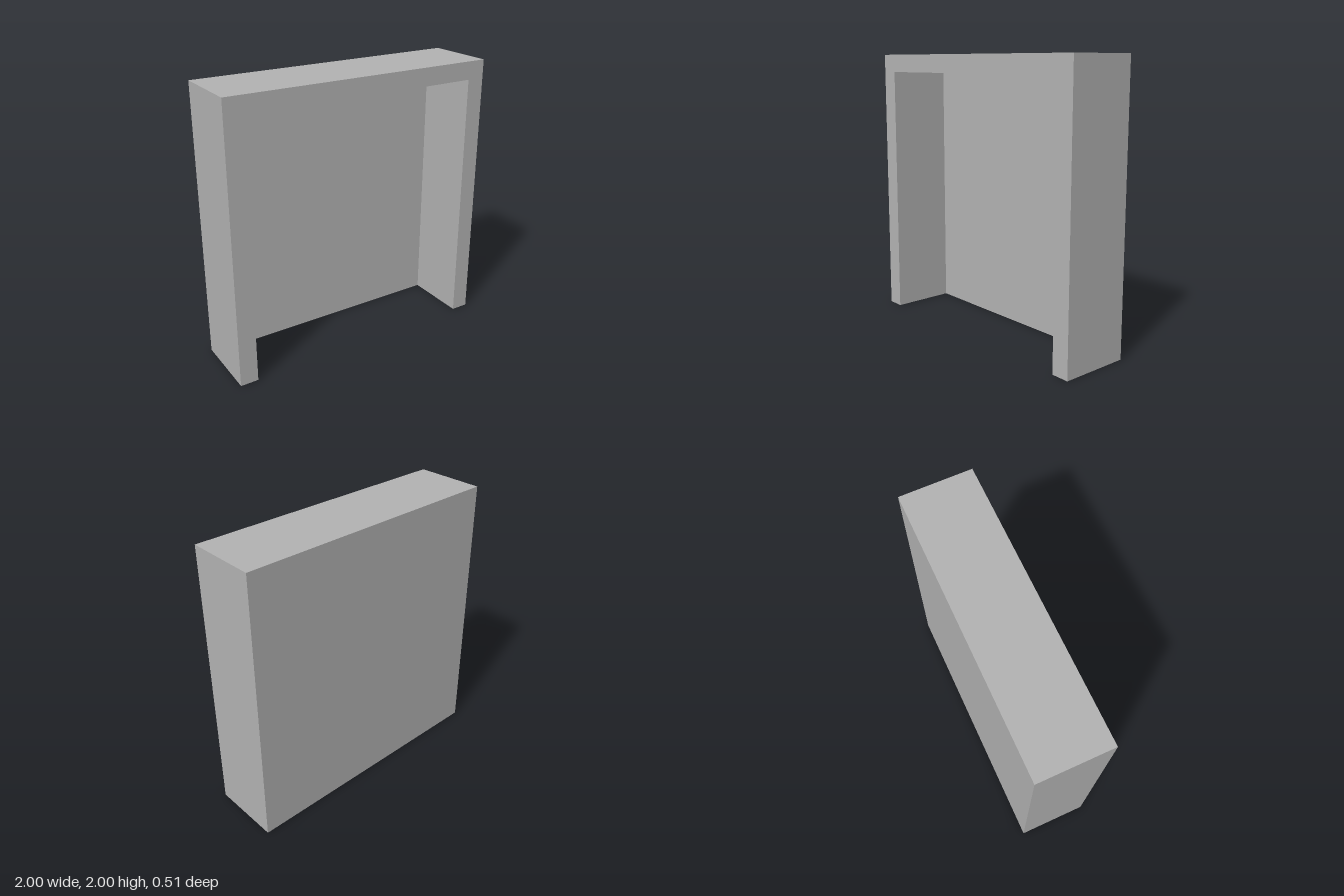
import * as THREE from 'three';

export function createModel() {
  const grey = new THREE.MeshStandardMaterial({ color: 0xb2b2b2 });
  grey.name = 'grey';
  const group = new THREE.Group();
  group.name = 'surround';

  const halfDepth = 0.255, panel = 0.045;

  // Surround: two legs and a lintel as one arch-shaped outline
  const outline = [[-1, 0], [-0.87, 0], [-0.87, 1.87], [0.87, 1.87], [0.87, 0], [1, 0], [1, 2], [-1, 2]];
  const shape = new THREE.Shape(outline.map(([x, y]) => new THREE.Vector2(x, y)));
  const frame = new THREE.Mesh(
    new THREE.ExtrudeGeometry(shape, { depth: 2 * halfDepth - panel, bevelEnabled: false }), grey);
  frame.name = 'frame';
  frame.position.z = -halfDepth + panel;
  group.add(frame);

  // Thin panel closing the back
  const back = new THREE.Mesh(new THREE.BoxGeometry(2, 2, panel), grey);
  back.name = 'backPanel';
  back.position.set(0, 1, -halfDepth + panel / 2);
  group.add(back);

  return group;
}
